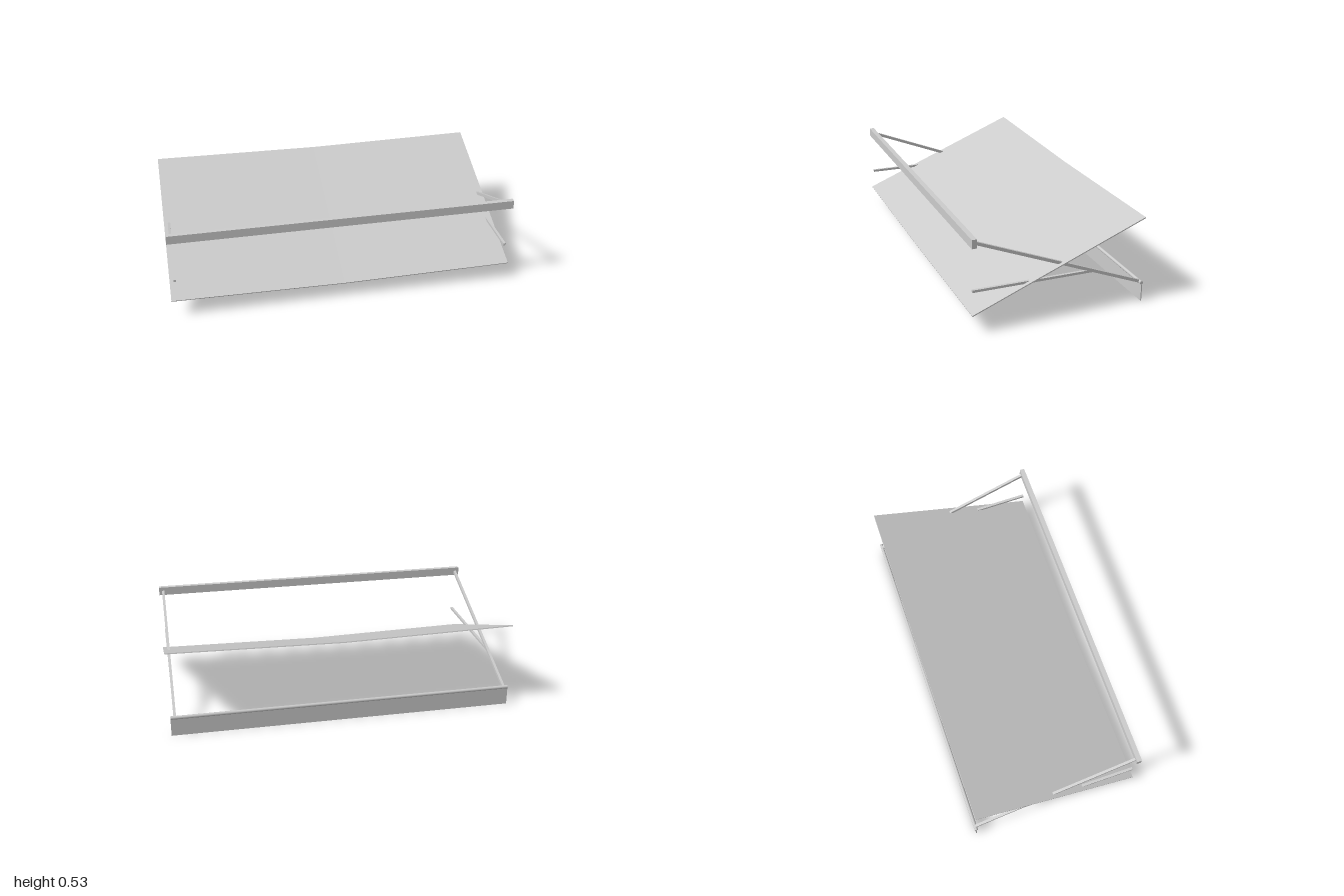
import * as THREE from 'three';

const metal = new THREE.MeshStandardMaterial({ color: 0xcccccc });
metal.name = 'light grey';

export function createModel() {
  const model = new THREE.Group();
  model.name = 'awning';

  const add = (name, geometry, x = 0, y = 0, z = 0) => {
    const mesh = new THREE.Mesh(geometry, metal);
    mesh.name = name;
    mesh.position.set(x, y, z);
    model.add(mesh);
    return mesh;
  };

  // Square bar between two (z, y) points at a given x
  const bar = (name, x, [z0, y0], [z1, y1], width, thick) => {
    const length = Math.hypot(z1 - z0, y1 - y0);
    const mesh = add(name, new THREE.BoxGeometry(width, thick, length), x, (y0 + y1) / 2, (z0 + z1) / 2);
    mesh.rotation.x = -Math.atan2(y1 - y0, z1 - z0);
  };

  // Sloping sheet with a shallow fold down its middle
  const sag = 0.017, thick = 0.006;
  const section = new THREE.Shape([
    [-1, 0], [-1, -thick], [0, -sag - thick], [1, -thick], [1, 0], [0, -sag],
  ].map(([x, y]) => new THREE.Vector2(x, y)));
  const back = [-0.49, 0.505], front = [0.503, 0.108];
  const run = front[0] - back[0], drop = back[1] - front[1];
  const sheet = add('canopySheet', new THREE.ExtrudeGeometry(section, {
    depth: Math.hypot(run, drop), bevelEnabled: false,
  }), 0, back[1], back[0]);
  sheet.rotation.x = Math.atan2(drop, run);

  // Upper rail, lower roller and hanging valance
  add('upperRail', new THREE.BoxGeometry(1.99, 0.05, 0.028), 0, 0.508, 0.486);
  add('lowerRoller', new THREE.CylinderGeometry(0.01, 0.01, 1.99, 12).rotateZ(Math.PI / 2), 0, 0.11, -0.494);
  add('valance', new THREE.BoxGeometry(1.99, 0.105, 0.006), 0, 0.0525, -0.496);

  // Side arms and their struts
  for (const [side, s] of [['left', 1], ['right', -1]]) {
    bar(side + 'Arm', s * 0.97, [-0.49, 0.112], [0.475, 0.504], 0.015, 0.017);
    bar(side + 'Strut', s * 0.97, [-0.2, 0.229], [0.492, 0.235], 0.015, 0.014);
  }

  return model;
}
